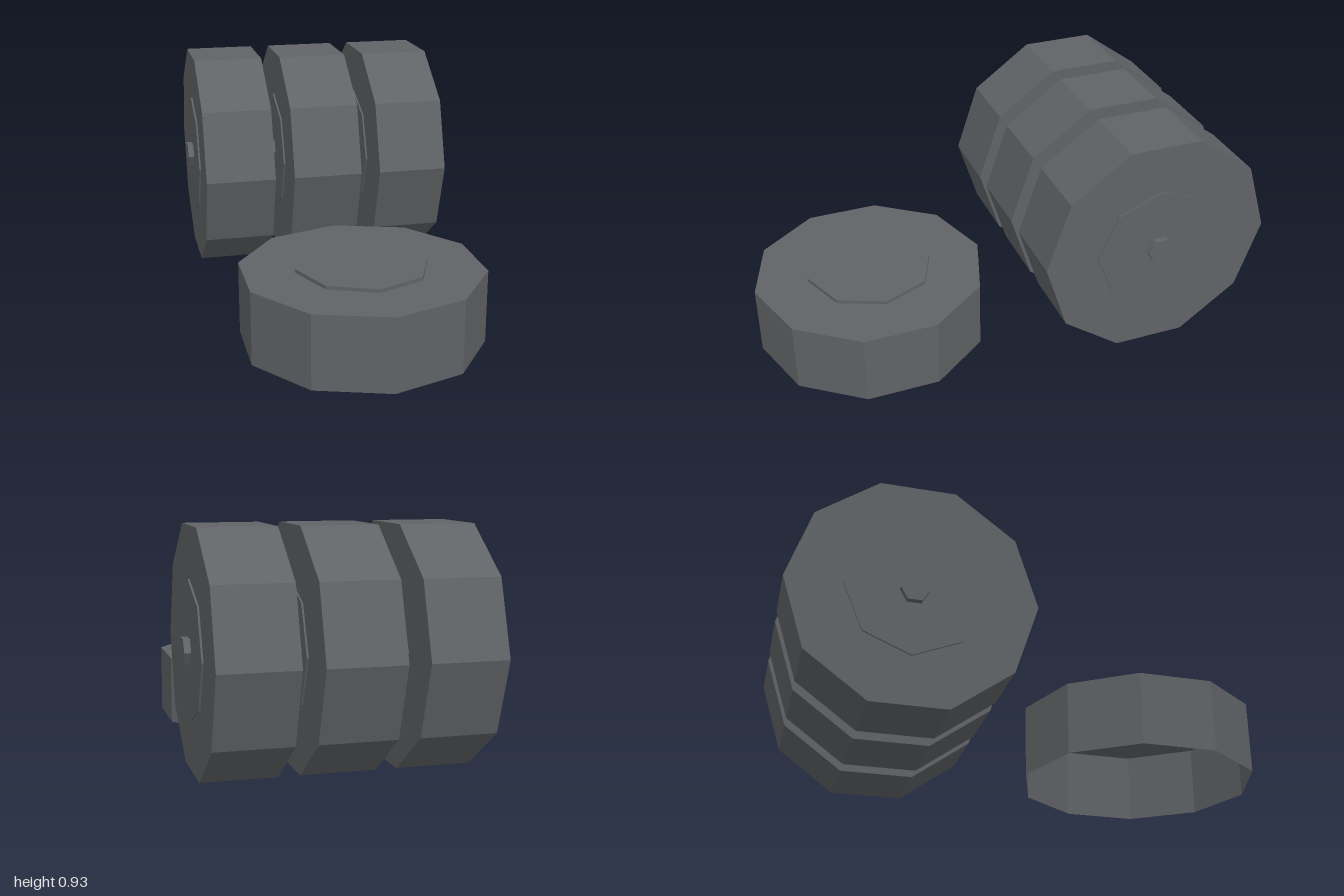
import * as THREE from 'three';

const RADIUS = 0.476, HUB_RADIUS = 0.26, WIDTH = 0.29;

export function createModel() {
  const model = new THREE.Group();
  const rubber = new THREE.MeshStandardMaterial({
    color: 0x606366, flatShading: true, side: THREE.DoubleSide,
  });

  const add = (parent, name, geometry) => {
    const mesh = new THREE.Mesh(geometry, rubber);
    mesh.name = name;
    parent.add(mesh);
    return mesh;
  };
  const disc = (radius, width, sides, open = false) =>
    new THREE.CylinderGeometry(radius, radius, width, sides, 1, open);

  // Three upright tyres in a row, each with a hub plate and axle showing on both sides
  for (const x of [-0.371, 0, 0.371]) {
    const wheel = new THREE.Group();
    wheel.name = 'uprightTyre';
    add(wheel, 'tread', disc(RADIUS, WIDTH, 10));
    add(wheel, 'hub', disc(HUB_RADIUS, 0.304, 8));
    add(wheel, 'axle', disc(0.055, 0.354, 6));
    wheel.rotation.z = Math.PI / 2;
    wheel.position.set(x, 0.478, -0.524);
    model.add(wheel);
  }

  // Tyre lying flat in front: a thin shell, open underneath
  const flat = new THREE.Group();
  flat.name = 'flatTyre';
  add(flat, 'tread', disc(RADIUS, WIDTH, 10, true)).position.y = WIDTH / 2;
  const sidewall = new THREE.CircleGeometry(RADIUS, 10, Math.PI / 2).rotateX(-Math.PI / 2);
  add(flat, 'sidewall', sidewall).position.y = WIDTH;
  add(flat, 'hub', disc(HUB_RADIUS, 0.014, 8)).position.y = WIDTH + 0.007;
  flat.position.z = 0.524;
  model.add(flat);

  return model;
}
